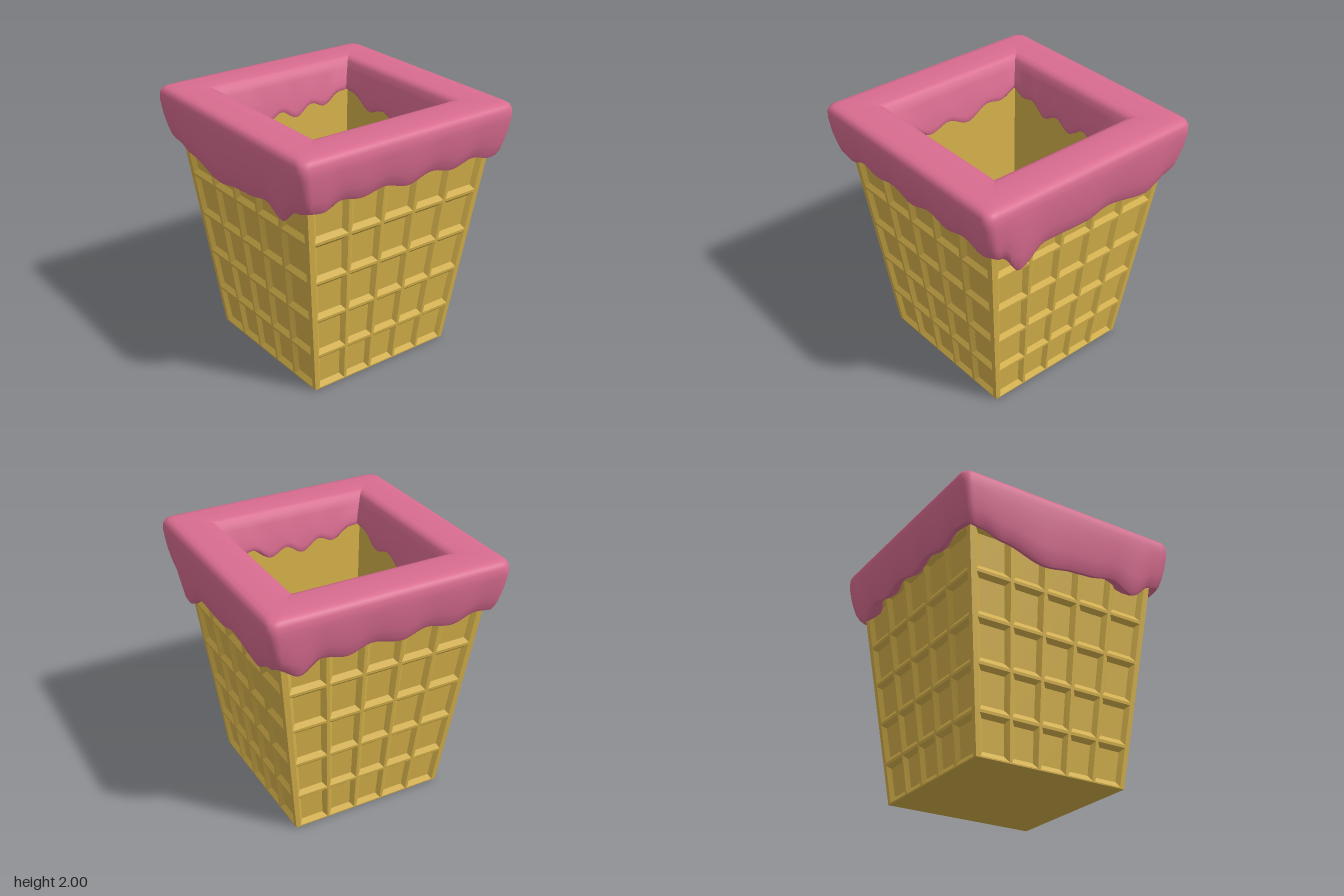
import * as THREE from 'three';
import { toCreasedNormals } from 'three/addons/utils/BufferGeometryUtils.js';

const half = (y) => 0.62 + 0.118 * y; // half width of the tapered cup at height y

// Collects quads (corners counter-clockwise from outside) into one flat geometry
function quadGeometry(quads) {
  const pos = [];
  for (const [a, b, c, d] of quads) for (const p of [a, b, c, a, c, d]) pos.push(...p);
  const g = new THREE.BufferGeometry();
  g.setAttribute('position', new THREE.Float32BufferAttribute(pos, 3));
  g.computeVertexNormals();
  return g;
}

// One cup side: a grid of recessed, bevelled panels made of nested rectangles
function waffleSide() {
  const us = [-1, -0.558, -0.186, 0.186, 0.558, 1];
  const ys = [0, 0.315, 0.645, 0.975, 1.305, 1.635];
  const P = (u, y, depth) => [u * half(y), y, half(y) - depth];
  const rect = (l, r, b, t, d) => [P(l, b, d), P(r, b, d), P(r, t, d), P(l, t, d)];
  const quads = [];
  for (let i = 0; i < 5; i++) for (let j = 0; j < 5; j++) {
    const l = us[i], r = us[i + 1], b = ys[j], t = ys[j + 1];
    const rl = l + (i === 0 ? 0.06 : 0.016), rr = r - (i === 4 ? 0.06 : 0.016);
    const rb = b + 0.01, rt = t - 0.012;
    const rings = [
      rect(l, r, b, t, 0),
      rect(rl, rr, rb, rt, 0),
      rect(rl + 0.045, rr - 0.045, rb + 0.04, rt - 0.03, 0.028),
    ];
    for (let k = 0; k < 2; k++) for (let e = 0; e < 4; e++) {
      const n = (e + 1) % 4;
      quads.push([rings[k][e], rings[k][n], rings[k + 1][n], rings[k + 1][e]]);
    }
    quads.push(rings[2]);
  }
  quads.push(rect(-1, 1, 1.635, 1.85, 0)); // plain band under the icing
  return quadGeometry(quads);
}

// Inner wall and rim of one side
function innerSide() {
  const top = half(1.85);
  return quadGeometry([
    [[0.555, 0.06, 0.555], [-0.555, 0.06, 0.555], [-0.61, 1.85, 0.61], [0.61, 1.85, 0.61]],
    [[-top, 1.85, top], [top, 1.85, top], [0.61, 1.85, 0.61], [-0.61, 1.85, 0.61]],
  ]);
}

// Lower edge of the icing per side: [position along side, height]
const DRIPS = [
  [[-0.9, 1.6], [-0.8, 1.59], [-0.6, 1.54], [-0.2, 1.455], [0.05, 1.49], [0.2, 1.5], [0.42, 1.535], [0.62, 1.46], [0.8, 1.58], [0.9, 1.6]],
  [[-0.9, 1.6], [-0.75, 1.58], [-0.6, 1.63], [-0.42, 1.6], [-0.22, 1.63], [0, 1.58], [0.22, 1.63], [0.42, 1.59], [0.62, 1.63], [0.8, 1.59], [0.9, 1.6]],
  [[-0.9, 1.6], [-0.8, 1.56], [-0.64, 1.39], [-0.4, 1.52], [0, 1.51], [0.2, 1.55], [0.6, 1.49], [0.8, 1.57], [0.9, 1.6]],
  [[-0.9, 1.6], [-0.72, 1.51], [-0.55, 1.6], [-0.35, 1.56], [-0.15, 1.61], [0.1, 1.56], [0.3, 1.61], [0.52, 1.57], [0.72, 1.62], [0.9, 1.6]],
];

function dripHeight(list, x) {
  let i = 0;
  while (i < list.length - 2 && x > list[i + 1][0]) i++;
  const [x0, y0] = list[i], [x1, y1] = list[i + 1];
  const t = THREE.MathUtils.clamp((x - x0) / (x1 - x0), 0, 1);
  return y0 + (y1 - y0) * t * t * (3 - 2 * t);
}

// Icing: a closed cross-section swept round the square, with wavy lower edges
function icingGeometry() {
  const N = 72, pos = [], index = [];
  let M = 0;
  for (let side = 0; side < 4; side++) for (let s = 0; s < N; s++) {
    const u = Math.sin((s / N - 0.5) * Math.PI);
    const yo = dripHeight(DRIPS[side], u * 0.9);
    const yi = 1.76 - 0.1 * (1 - u * u) + 0.035 * Math.sin(u * Math.PI * (side % 2 ? 4 : 3)) * (1 - u ** 4);
    const mix = (a, t) => a + (2 - a) * t;
    const section = [
      [0.74, yo + 0.09], [0.8, yo + 0.03], [0.835, yo + 0.005], [0.865, yo], [0.885, yo + 0.035],
      [0.905, mix(yo, 0.25)], [0.922, mix(yo, 0.45)], [0.933, mix(yo, 0.65)], [0.937, 1.9],
      [0.935, 1.95], [0.922, 1.98], [0.9, 1.994], [0.86, 2], [0.76, 2], [0.66, 2],
      [0.625, 1.99], [0.605, 1.965], [0.59, 1.91], [0.565, mix(yi, 0.4)], [0.552, mix(yi, 0.15)],
      [0.55, yi + 0.02], [0.558, yi], [0.58, yi], [0.66, yi + 0.04],
    ];
    M = section.length;
    for (const [h, y] of section) {
      const r = 0.07 * THREE.MathUtils.clamp((h - 0.8) / 0.1, 0, 1);
      const p = new THREE.Vector2(u * h, h); // point on the square, then rounded at its corners
      if (r > 0) {
        const q = p.clone().clampScalar(r - h, h - r);
        p.sub(q).setLength(r).add(q);
      }
      const v = new THREE.Vector3(p.x, y, p.y).applyAxisAngle(new THREE.Vector3(0, 1, 0), side * Math.PI / 2);
      pos.push(v.x, v.y, v.z);
    }
  }
  const total = 4 * N;
  for (let i = 0; i < total; i++) for (let j = 0; j < M; j++) {
    const i2 = (i + 1) % total, j2 = (j + 1) % M;
    const a = i * M + j, b = i2 * M + j, c = i2 * M + j2, d = i * M + j2;
    index.push(a, b, c, a, c, d);
  }
  const g = new THREE.BufferGeometry();
  g.setAttribute('position', new THREE.Float32BufferAttribute(pos, 3));
  g.setIndex(index);
  return toCreasedNormals(g, 0.9);
}

export function createModel() {
  const model = new THREE.Group();
  model.name = 'waffleCup';
  const waffle = new THREE.MeshStandardMaterial({ color: 0xd4b04a });
  const pink = new THREE.MeshStandardMaterial({ color: 0xd96c90 });
  const add = (name, geometry, material) => {
    const mesh = new THREE.Mesh(geometry, material);
    mesh.name = name;
    model.add(mesh);
    return mesh;
  };

  // Four waffle walls, outside and inside
  const outer = waffleSide(), inner = innerSide();
  ['front', 'right', 'back', 'left'].forEach((side, k) => {
    add(side + 'WaffleWall', outer, waffle).rotation.y = k * Math.PI / 2;
    add(side + 'InnerWall', inner, waffle).rotation.y = k * Math.PI / 2;
  });

  // Underside and inner floor
  add('base', new THREE.PlaneGeometry(1.24, 1.24), waffle).rotation.x = Math.PI / 2;
  const floor = add('innerFloor', new THREE.PlaneGeometry(1.11, 1.11), waffle);
  floor.rotation.x = -Math.PI / 2;
  floor.position.y = 0.06;

  add('icing', icingGeometry(), pink);
  return model;
}
